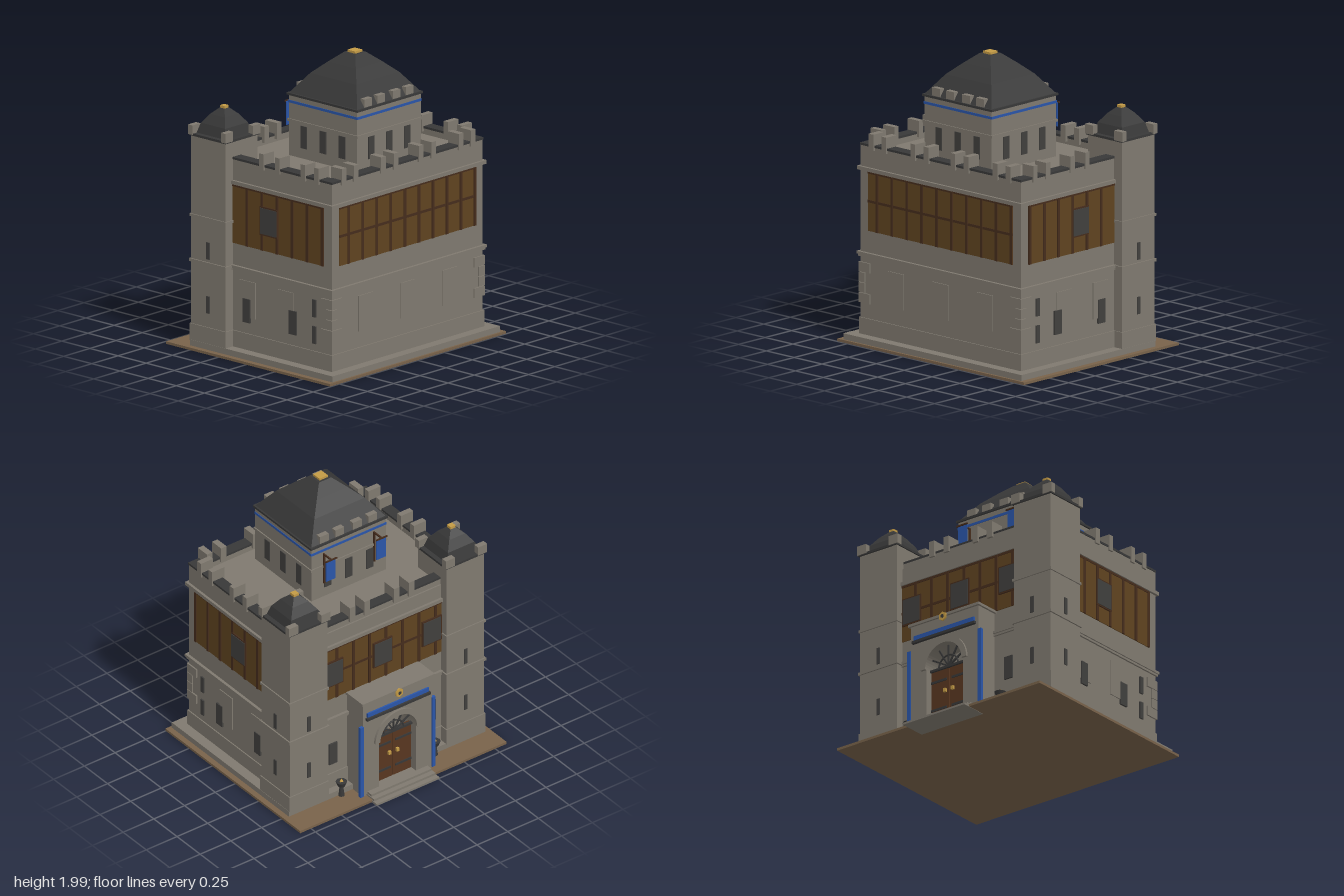
import * as THREE from 'three';

const mat = (name, color) => Object.assign(new THREE.MeshStandardMaterial({ color }), { name });

export function createModel() {
  const stone = mat('stone', 0x7f796f), slate = mat('slate', 0x383838), glass = mat('dark window', 0x403f3d);
  const infill = mat('timber infill', 0x5f4320), beam = mat('timber beam', 0x452c1c), earth = mat('earth', 0x78624a);
  const gold = mat('gold', 0xc39a45), blue = mat('blue cloth', 0x2a55a8), wood = mat('door wood', 0x573620);
  const model = new THREE.Group();
  model.name = 'castle';
  const part = (name) => {
    const g = new THREE.Group();
    g.name = name;
    model.add(g);
    return g;
  };
  const add = (g, name, m, geo) => {
    const mesh = new THREE.Mesh(geo, m);
    mesh.name = name;
    g.add(mesh);
    return mesh;
  };
  // box given by its limits on each axis
  const box = (g, name, m, x0, x1, y0, y1, z0, z1) =>
    add(g, name, m, new THREE.BoxGeometry(x1 - x0, y1 - y0, z1 - z0))
      .position.set((x0 + x1) / 2, (y0 + y1) / 2, (z0 + z1) / 2);
  // square block given by its centre and half width
  const block = (g, name, m, cx, cz, h, y0, y1) => box(g, name, m, cx - h, cx + h, y0, y1, cz - h, cz + h);
  // four-sided roof from [half width, height] pairs
  const hipRoof = (g, cx, cz, pts) => {
    const profile = pts.map(([h, y]) => new THREE.Vector2(h * Math.SQRT2, y));
    const geo = new THREE.LatheGeometry(profile, 4, Math.PI / 4).toNonIndexed();
    geo.computeVertexNormals();
    add(g, 'hipRoof', slate, geo).position.set(cx, 0, cz);
  };
  const sides = [-1, 1];
  // box mirrored to both sides of x = 0
  const pair = (g, name, m, x0, x1, ...rest) => {
    box(g, name, m, x0, x1, ...rest);
    box(g, name, m, -x1, -x0, ...rest);
  };

  // ground and plinth
  const base = part('base');
  box(base, 'ground', earth, -0.84, 0.84, 0.008, 0.025, -0.705, 0.75);
  box(base, 'plinth', stone, -0.8, 0.8, 0.025, 0.065, -0.53, 0.735);

  // main block with string courses
  const hall = part('hall');
  box(hall, 'walls', stone, -0.72, 0.72, 0.06, 1.29, -0.47, 0.655);
  for (const [y0, y1, d] of [[0.06, 0.175, 0.008], [0.585, 0.6, 0.012], [0.6, 0.618, 0.02], [1.165, 1.19, 0.018]])
    box(hall, 'stringCourse', stone, -0.72 - d, 0.72 + d, y0, y1, -0.47 - d, 0.655 + d);
  // parapet and dark coping
  for (const [name, m, y0, y1, d] of [['parapet', stone, 1.29, 1.33, 0], ['coping', slate, 1.33, 1.345, 0.004]]) {
    pair(hall, name, m, 0.65 - d, 0.72 + d, y0, y1, -0.455, 0.655 + d);
    box(hall, name, m, -0.65, 0.65, y0, y1, 0.585 - d, 0.655 + d);
    box(hall, name, m, -0.65, 0.65, y0, y1, -0.47 + 0.01, -0.39);
  }
  // merlons
  for (const x of [0.12, 0.24, 0.5, 0.615])
    pair(hall, 'merlon', stone, x - 0.022, x + 0.022, 1.31, 1.42, 0.57, 0.668);
  for (const x of [0.12, 0.24])
    pair(hall, 'merlon', stone, x - 0.022, x + 0.022, 1.31, 1.42, -0.475, -0.37);
  for (const z of [0.04, 0.18, 0.41, 0.53])
    pair(hall, 'merlon', stone, 0.632, 0.732, 1.31, 1.42, z - 0.02, z + 0.02);
  // corner quoins, alternately long and short
  for (let i = 0; i < 4; i++) {
    const y = 0.275 + i * 0.069, w = i % 3 ? 0.045 : 0.09;
    pair(hall, 'quoin', stone, 0.72 - w, 0.73, y, y + 0.065, 0.655 - w, 0.665);
  }
  // blind panels and windows of the lower storey
  for (const x of [-0.4, 0, 0.4]) box(hall, 'blindPanel', stone, x - 0.07, x + 0.07, 0.285, 0.525, 0.65, 0.662);
  for (const z of [0.25, -0.09]) pair(hall, 'blindPanel', stone, 0.71, 0.726, 0.285, 0.53, z - 0.07, z + 0.07);
  for (const z of [0.315, -0.095]) pair(hall, 'sideWindow', glass, 0.71, 0.732, 0.25, 0.41, z - 0.032, z + 0.032);
  for (const y of [0.225, 0.405]) pair(hall, 'arrowSlit', glass, 0.71, 0.73, y, y + 0.118, 0.487, 0.518);
  pair(hall, 'backWindow', glass, 0.367, 0.433, 0.25, 0.41, -0.482, -0.46);

  // half-timbered storey
  const timber = part('timberStorey');
  box(timber, 'frontInfill', infill, -0.65, 0.65, 0.765, 1.165, 0.65, 0.66);
  box(timber, 'backInfill', infill, -0.5, 0.5, 0.765, 1.165, -0.475, -0.46);
  pair(timber, 'sideInfill', infill, 0.71, 0.725, 0.765, 1.165, -0.23, 0.585);
  box(timber, 'frontRail', beam, -0.65, 0.65, 0.957, 0.974, 0.65, 0.664);
  box(timber, 'frontTopRail', beam, -0.65, 0.65, 1.15, 1.166, 0.65, 0.664);
  box(timber, 'backRail', beam, -0.5, 0.5, 0.957, 0.974, -0.479, -0.46);
  box(timber, 'backTopRail', beam, -0.5, 0.5, 1.15, 1.166, -0.479, -0.46);
  pair(timber, 'sideTopRail', beam, 0.71, 0.729, 1.15, 1.166, -0.23, 0.585);
  for (let i = 0; i < 10; i++) {
    const x = -0.567 + i * 0.134;
    box(timber, 'frontStud', beam, x - 0.01, x + 0.01, 0.765, 1.16, 0.65, 0.666);
    if (Math.abs(x) < 0.48) box(timber, 'backStud', beam, x - 0.01, x + 0.01, 0.765, 1.16, -0.481, -0.46);
  }
  for (let i = 0; i < 6; i++) {
    const z = 0.577 - i * 0.134;
    pair(timber, 'sideStud', beam, 0.71, 0.731, 0.765, 1.16, z - 0.01, z + 0.01);
  }
  pair(timber, 'sideWindowFrame', beam, 0.71, 0.734, 0.87, 1.065, 0.027, 0.183);
  pair(timber, 'sideWindow', glass, 0.71, 0.738, 0.88, 1.055, 0.035, 0.175);
  for (const x of [-0.4, 0, 0.4]) {
    box(timber, 'backWindowFrame', beam, x - 0.078, x + 0.078, 0.87, 1.065, -0.486, -0.46);
    box(timber, 'backWindow', glass, x - 0.07, x + 0.07, 0.88, 1.055, -0.49, -0.46);
  }

  // two back corner towers
  for (const s of sides) {
    const t = part(s > 0 ? 'leftTower' : 'rightTower'), cx = s * 0.638, cz = -0.375;
    block(t, 'shaft', stone, cx, cz, 0.153, 0.06, 1.45);
    for (const [y0, y1, d] of [[0.06, 0.175, 0.007], [0.595, 0.615, 0.01], [0.9, 0.918, 0.008]])
      block(t, 'stringCourse', stone, cx, cz, 0.153 + d, y0, y1);
    block(t, 'roofPlate', slate, cx, cz, 0.162, 1.448, 1.464);
    for (const a of sides) for (const b of sides) {
      const x = cx + a * 0.131, z = cz + b * 0.146;
      box(t, 'merlon', stone, x - 0.037, x + 0.037, 1.455, 1.52, z - 0.02, z + 0.02);
    }
    hipRoof(t, cx, cz, [[0.128, 1.463], [0.108, 1.53], [0.065, 1.59], [0.022, 1.632]]);
    block(t, 'finial', gold, cx, cz, 0.02, 1.628, 1.648);
    for (const y of [0.27, 0.635]) {
      box(t, 'sideSlit', glass, cx + s * 0.153 - 0.006, cx + s * 0.153 + 0.006, y, y + 0.115, cz - 0.013, cz + 0.013);
      box(t, 'backSlit', glass, cx - 0.013, cx + 0.013, y, y + 0.115, cz - 0.159, cz - 0.147);
    }
  }

  // central keep
  const keep = part('keep'), kz = 0.19;
  block(keep, 'walls', stone, 0, kz, 0.303, 1.28, 1.705);
  block(keep, 'stringCourse', stone, 0, kz, 0.311, 1.523, 1.54);
  block(keep, 'blueBand', blue, 0, kz, 0.307, 1.648, 1.665);
  block(keep, 'roofPlate', slate, 0, kz, 0.314, 1.7, 1.715);
  for (const u of [-0.17, 0, 0.17]) {
    box(keep, 'window', glass, u - 0.028, u + 0.028, 1.36, 1.51, kz - 0.308, kz + 0.308);
    box(keep, 'window', glass, -0.308, 0.308, 1.36, 1.51, kz + u - 0.028, kz + u + 0.028);
  }
  for (const x of [0.072, 0.197]) for (const s of sides)
    pair(keep, 'merlon', stone, x - 0.036, x + 0.036, 1.71, 1.77, kz + s * 0.285 - 0.018, kz + s * 0.285 + 0.018);
  hipRoof(keep, 0, kz, [[0.302, 1.714], [0.205, 1.845], [0.125, 1.92], [0.05, 1.985], [0, 1.985]]);
  block(keep, 'finial', gold, 0, kz, 0.034, 1.98, 2);
  // banners hanging from brackets on the back of the keep
  pair(keep, 'bracketPost', beam, 0.2, 0.21, 1.4, 1.63, -0.127, -0.113);
  pair(keep, 'bracketArm', beam, 0.2, 0.21, 1.622, 1.632, -0.2, -0.113);
  pair(keep, 'bannerPole', beam, 0.16, 0.25, 1.622, 1.632, -0.204, -0.196);
  pair(keep, 'banner', blue, 0.167, 0.243, 1.465, 1.625, -0.195, -0.189);

  // entrance porch with an arched opening
  const porch = part('porch');
  const archPath = (shape, r, y0, spring) => {
    shape.moveTo(-r, y0);
    shape.lineTo(-r, spring);
    shape.absarc(0, spring, r, Math.PI, 0, true);
    shape.lineTo(r, y0);
    return shape;
  };
  const wall = archPath(new THREE.Shape(), 0.15, 0.025, 0.41);
  for (const [x, y] of [[0.28, 0.025], [0.28, 0.755], [-0.28, 0.755], [-0.28, 0.025]]) wall.lineTo(x, y);
  wall.closePath();
  const extrude = (shape, depth) => new THREE.ExtrudeGeometry(shape, { depth, bevelEnabled: false, curveSegments: 14 });
  add(porch, 'porchWalls', stone, extrude(wall, 0.18)).position.z = -0.64;
  const rim = new THREE.Shape().absarc(0, 0.41, 0.19, 0, Math.PI, false);
  rim.absarc(0, 0.41, 0.15, Math.PI, 0, true);
  add(porch, 'archRim', stone, extrude(rim, 0.02)).position.z = -0.656;
  box(porch, 'porchCap', stone, -0.294, 0.294, 0.75, 0.768, -0.655, -0.46);
  for (const [x, z, y] of [[0.255, -0.755, 0.02], [0.25, -0.72, 0.036], [0.245, -0.685, 0.052]])
    box(porch, 'step', stone, -x, x, 0.006, y, z, -0.56);
  pair(porch, 'doorLeaf', wood, 0.004, 0.15, 0.05, 0.41, -0.59, -0.565);
  for (const y of [0.12, 0.32]) pair(porch, 'hinge', slate, 0.02, 0.15, y, y + 0.016, -0.595, -0.585);
  pair(porch, 'doorKnob', gold, 0.022, 0.042, 0.235, 0.26, -0.606, -0.588);
  // fan grille over the door
  for (let i = 1; i < 6; i++) {
    const bar = add(porch, 'grilleBar', slate, new THREE.BoxGeometry(0.15, 0.01, 0.01).translate(0.075, 0, 0));
    bar.position.set(0, 0.41, -0.6);
    bar.rotation.z = (i * Math.PI) / 6;
  }
  add(porch, 'grilleRing', slate, new THREE.TorusGeometry(0.08, 0.006, 6, 14, Math.PI)).position.set(0, 0.41, -0.6);
  box(porch, 'grilleSill', slate, -0.15, 0.15, 0.402, 0.418, -0.604, -0.585);
  // blue hangings, lintel and crest
  pair(porch, 'blueHanging', blue, 0.278, 0.306, 0.03, 0.58, -0.648, -0.627);
  box(porch, 'blueLintel', blue, -0.25, 0.25, 0.645, 0.675, -0.652, -0.63);
  box(porch, 'lintelBar', slate, -0.26, 0.26, 0.622, 0.64, -0.66, -0.63);
  const crest = add(porch, 'crest', gold, new THREE.CylinderGeometry(0.032, 0.032, 0.012, 6).rotateX(Math.PI / 2));
  crest.position.set(0, 0.745, -0.66);
  add(porch, 'crestCentre', slate, new THREE.CylinderGeometry(0.014, 0.014, 0.016, 6).rotateX(Math.PI / 2))
    .position.copy(crest.position);

  // braziers beside the porch
  for (const s of sides) {
    const b = part('brazier');
    b.position.set(s * 0.38, 0, -0.54);
    add(b, 'bowl', slate, new THREE.CylinderGeometry(0.038, 0.024, 0.035, 12)).position.y = 0.117;
    add(b, 'stem', slate, new THREE.CylinderGeometry(0.01, 0.022, 0.085, 8)).position.y = 0.065;
    add(b, 'embers', gold, new THREE.ConeGeometry(0.014, 0.025, 6)).position.y = 0.145;
  }
  return model;
}
